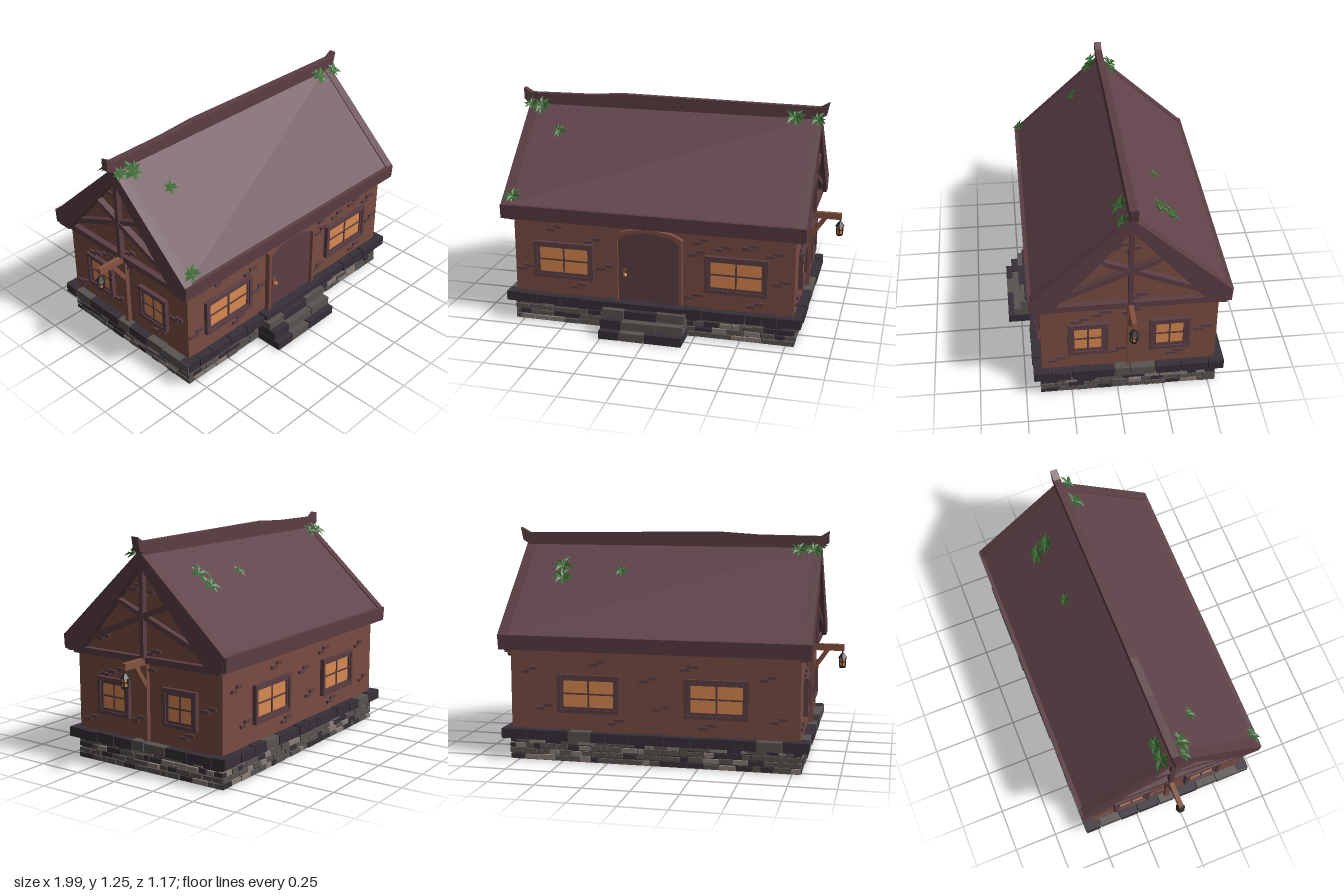
import * as THREE from 'three';
import { mergeGeometries } from 'three/addons/utils/BufferGeometryUtils.js';

const paint = (name, color, side = THREE.FrontSide) => {
  const m = new THREE.MeshStandardMaterial({ color, side });
  m.name = name;
  return m;
};

export function createModel() {
  const wall = paint('wall clay', 0x794c42);
  const trim = paint('dark timber', 0x5b3e44);
  const roofMat = paint('roof mauve', 0x60424a);
  const bracketWood = paint('bracket wood', 0x85533f);
  const stone = paint('mid stone', 0x575350);
  const paleStone = paint('pale stone', 0x897c75);
  const darkStone = paint('dark stone', 0x362f38);
  const glass = paint('glowing glass', 0xd8884f);
  const leafMat = paint('ivy green', 0x33682c, THREE.DoubleSide);
  const iron = paint('iron', 0x2b272b);

  const model = new THREE.Group();
  model.name = 'cottage';
  const house = new THREE.Group();
  house.name = 'house';
  house.position.z = -0.06;
  model.add(house);

  let seed = 7;
  const rnd = () => (seed = (seed * 16807) % 2147483647) / 2147483647;
  const add = (parent, name, geo, mat, x = 0, y = 0, z = 0) => {
    const m = new THREE.Mesh(geo, mat);
    m.name = name;
    m.position.set(x, y, z);
    parent.add(m);
    return m;
  };
  const box = (parent, name, mat, w, h, d, x, y, z) =>
    add(parent, name, new THREE.BoxGeometry(w, h, d), mat, x, y, z);
  const shapeOf = pts => new THREE.Shape(pts.map(p => new THREE.Vector2(...p)));
  const extrude = (shape, depth) =>
    new THREE.ExtrudeGeometry(shape, { depth, bevelEnabled: false, curveSegments: 10 });
  // Profile in (z, y) extruded from x0 to x1
  const across = (pts, x0, x1) =>
    extrude(shapeOf(pts), x1 - x0).rotateY(-Math.PI / 2).translate(x1, 0, 0);

  // Walls with both gables in one pentagon
  add(house, 'walls', across([[-0.47, 0.13], [0.47, 0.13], [0.47, 0.68], [0, 1.12], [-0.47, 0.68]], -0.79, 0.79), wall);
  box(house, 'foundationCore', darkStone, 1.57, 0.13, 0.93, 0, 0.07, 0);
  box(house, 'floor', wall, 1.58, 0.008, 0.94, 0, 0.004, 0);

  // Each side of the house: local x runs along the wall, local z points outward
  const sides = [['front', 0, 0, 0.47, 0.8], ['back', Math.PI, 0, -0.47, 0.8],
    ['left', Math.PI / 2, 0.79, 0, 0.48], ['right', -Math.PI / 2, -0.79, 0, 0.48]]
    .map(([name, ry, x, z, half]) => {
      const g = new THREE.Group();
      g.name = name + 'Side';
      g.rotation.y = ry;
      g.position.set(x, 0, z);
      house.add(g);
      return { g, half };
    });

  // Stone courses, merged by colour
  const course = (parent, name, half, y, h, z0, z1, minW, maxW, pick) => {
    const piles = new Map();
    let u = -half;
    while (u < half - 0.001) {
      let w = minW + rnd() * (maxW - minW);
      if (half - u - w < minW) w = half - u;
      const d = z1 - z0 - rnd() * 0.006, hh = h - rnd() * 0.006;
      const b = new THREE.BoxGeometry(w - 0.005, hh - 0.003, d).translate(u + w / 2, y + hh / 2, z0 + d / 2);
      const mat = pick();
      piles.set(mat, [...(piles.get(mat) || []), b]);
      u += w;
    }
    piles.forEach((list, mat) => add(parent, name, mergeGeometries(list), mat));
  };
  const rubble = () => { const r = rnd(); return r < 0.58 ? stone : r < 0.77 ? paleStone : darkStone; };
  const slab = () => (rnd() < 0.8 ? darkStone : stone);
  for (const { g, half } of sides) {
    for (let r = 0; r < 4; r++) course(g, 'foundationStones', half, 0.003 + r * 0.031, 0.031, -0.02, 0.012, 0.035, 0.1, rubble);
    course(g, 'capStones', half + 0.035, 0.122, 0.058, -0.02, 0.05, 0.08, 0.15, slab);
  }

  // Front steps
  const steps = new THREE.Group();
  steps.name = 'steps';
  steps.position.x = -0.025;
  house.add(steps);
  [[0, 0.64], [0.05, 0.605], [0.1, 0.565]].forEach(([y, z]) =>
    course(steps, 'stepStones', 0.235, y, 0.055, 0.46, z, 0.11, 0.2, slab));
  box(steps, 'threshold', darkStone, 0.45, 0.03, 0.07, 0, 0.165, 0.5);

  // Windows: outer frame, inner frame, glass and bars
  const ring = (w, h, t, d) => {
    const s = (a, b) => [[-a, -b], [a, -b], [a, b], [-a, b]];
    const sh = shapeOf(s(w / 2, h / 2));
    sh.holes.push(new THREE.Path(s(w / 2 - t, h / 2 - t).map(p => new THREE.Vector2(...p))));
    return extrude(sh, d);
  };
  const windowAt = (parent, u, w, h, t) => {
    const g = new THREE.Group();
    g.name = 'window';
    g.position.set(u, 0.38, 0);
    parent.add(g);
    add(g, 'outerFrame', ring(w, h, t * 0.6, 0.024), trim);
    add(g, 'innerFrame', ring(w - t, h - t, t * 0.52, 0.016), trim);
    box(g, 'panes', glass, w - 2 * t, h - 2 * t, 0.008, 0, 0, 0.004);
    box(g, 'uprightBar', trim, 0.009, h - 2 * t, 0.013, 0, 0, 0.0065);
    box(g, 'crossBar', trim, w - 2 * t, 0.009, 0.012, 0, 0, 0.006);
  };
  [[0, -0.5, 0.475], [1, -0.35, 0.35]].forEach(([i, a, b]) =>
    [a, b].forEach(u => windowAt(sides[i].g, u, 0.345, 0.21, 0.032)));
  for (const s of [sides[2], sides[3]]) [-0.22, 0.215].forEach(u => windowAt(s.g, u, 0.215, 0.205, 0.034));

  // Exposed brick patches, each a pair of offset bricks
  const patches = [
    [[-0.55, 0.565], [-0.33, 0.51], [-0.26, 0.36], [-0.73, 0.32], [-0.42, 0.235], [0.28, 0.56], [0.26, 0.49],
      [0.4, 0.53], [0.55, 0.55], [0.68, 0.515], [0.24, 0.24], [0.58, 0.22], [0.72, 0.36]],
    [[-0.68, 0.5], [-0.6, 0.3], [-0.3, 0.55], [-0.02, 0.47], [0.05, 0.32], [-0.2, 0.23], [0.3, 0.23], [0.2, 0.54], [0.62, 0.5], [0.68, 0.28]],
    [[-0.15, 0.545], [0.01, 0.55], [-0.26, 0.505], [-0.06, 0.285], [0.39, 0.4], [-0.39, 0.24], [0.25, 0.24],
      [-0.06, 0.98], [0.01, 0.955], [-0.29, 0.695], [0.04, 0.65]]];
  [0, 1, 2, 2].forEach((p, i) => {
    const bricks = [];
    for (const [u, y] of patches[p]) for (const k of [-1, 1]) {
      const w = 0.04 + rnd() * 0.025;
      bricks.push(new THREE.BoxGeometry(w, 0.017, 0.016).translate(u + k * 0.022, y + k * 0.0095, 0.004));
    }
    add(sides[i].g, 'wallBricks', mergeGeometries(bricks), trim);
  });

  // Arched door
  const arch = (w, y0, shoulder, top) => {
    const s = new THREE.Shape();
    s.moveTo(-w, y0);
    s.lineTo(w, y0);
    s.lineTo(w, shoulder);
    s.quadraticCurveTo(w * 0.7, top, 0, top);
    s.quadraticCurveTo(-w * 0.7, top, -w, shoulder);
    return s;
  };
  const door = new THREE.Group();
  door.name = 'door';
  door.position.x = -0.01;
  sides[0].g.add(door);
  const frame = arch(0.19, 0.17, 0.56, 0.605);
  frame.holes.push(arch(0.172, 0.172, 0.535, 0.585));
  add(door, 'doorFrame', extrude(frame, 0.03), wall);
  add(door, 'doorPanel', extrude(arch(0.173, 0.171, 0.536, 0.586), 0.012), trim);
  box(door, 'handlePlate', bracketWood, 0.02, 0.05, 0.008, -0.135, 0.345, 0.015);
  add(door, 'doorKnob', new THREE.SphereGeometry(0.011, 10, 8), glass, -0.13, 0.335, 0.026);

  // Roof slab, eave boards and ridge beam
  add(house, 'roof', across([[-0.515, 0.69], [-0.47, 0.67], [0, 1.11], [0.47, 0.67], [0.515, 0.69], [0, 1.17]], -0.84, 0.835), roofMat);
  for (const s of [-1, 1]) {
    const eave = box(house, 'eaveBoard', trim, 1.69, 0.08, 0.055, -0.003, 0.657, s * 0.5);
    eave.rotation.x = s * 0.06;
  }
  const ridge = shapeOf([[-0.885, 1.18], [-0.83, 1.155], [0.83, 1.155], [0.87, 1.18], [0.885, 1.25], [0.835, 1.222],
    [0.3, 1.228], [-0.28, 1.236], [-0.5, 1.222], [-0.84, 1.218], [-0.885, 1.245]]);
  add(house, 'ridgeBeam', extrude(ridge, 0.04).translate(0, 0, -0.025), trim);

  // Gable timbers, bracket and lantern at each end
  const gableEnd = s => {
    const g = new THREE.Group();
    g.name = s > 0 ? 'leftGable' : 'rightGable';
    house.add(g);
    const timber = (name, pts, a, b) => add(g, name, across(pts, Math.min(s * a, s * b), Math.max(s * a, s * b)), trim);
    timber('bargeBoards', [[-0.525, 0.69], [-0.5, 0.61], [-0.42, 0.61], [0, 1.1], [0.42, 0.61], [0.5, 0.61], [0.525, 0.69], [0, 1.176]], 0.795, 0.847);
    for (const k of [1, -1]) {
      const pts = [[0.43, 0.645], [0.41, 0.685], [-0.17, 0.925], [-0.13, 0.88]].map(([z, y]) => [k * z, y]);
      timber('crossBrace', k > 0 ? pts : pts.reverse(), k > 0 ? 0.8 : 0.797, k > 0 ? 0.835 : 0.83);
    }
    box(g, 'tieBeam', trim, 0.04, 0.035, 0.95, s * 0.805, 0.612, 0);
    box(g, 'kingPost', trim, 0.03, 0.5, 0.026, s * 0.823, 0.865, 0);
    box(g, 'wallPost', wall, 0.03, 0.44, 0.026, s * 0.8, 0.4, 0);
    box(g, 'lanternArm', bracketWood, 0.17, 0.036, 0.026, s * 0.895, 0.606, 0);
    const brace = box(g, 'armBrace', bracketWood, 0.15, 0.024, 0.022, s * 0.85, 0.535, 0);
    brace.rotation.z = s * 0.97;

    const lantern = new THREE.Group();
    lantern.name = 'lantern';
    lantern.position.x = s * 0.972;
    g.add(lantern);
    const cyl = (name, mat, r1, r2, h, y, x = 0, z = 0) =>
      add(lantern, name, new THREE.CylinderGeometry(r1, r2, h, 6).toNonIndexed(), mat, x, y, z).geometry.computeVertexNormals();
    cyl('hook', iron, 0.004, 0.004, 0.04, 0.585);
    cyl('lanternRoof', iron, 0.009, 0.028, 0.026, 0.561);
    cyl('lanternLight', glass, 0.019, 0.015, 0.045, 0.527);
    cyl('lanternBase', iron, 0.021, 0.017, 0.012, 0.499);
    cyl('lanternBand', iron, 0.0205, 0.0195, 0.005, 0.528);
    for (let i = 0; i < 6; i++) {
      const a = i * Math.PI / 3;
      cyl('lanternBar', iron, 0.003, 0.003, 0.048, 0.527, Math.sin(a) * 0.019, Math.cos(a) * 0.019);
    }
  };
  gableEnd(1);
  gableEnd(-1);

  // Ivy: rosettes of folded leaves lying on the roof slopes
  const leaf = new THREE.BufferGeometry();
  leaf.setAttribute('position', new THREE.Float32BufferAttribute(
    [0, 0, 0, 0.015, 0.03, 0.014, 0, 0.068, 0.004, -0.015, 0.03, 0.014, 0, 0.032, 0.006], 3));
  leaf.setIndex([0, 1, 4, 1, 2, 4, 2, 3, 4, 3, 0, 4]);
  const leafGeo = leaf.toNonIndexed();
  leafGeo.computeVertexNormals();
  const ivy = (x, z, size, back) => {
    const turn = new THREE.Group();
    turn.name = 'ivy';
    turn.rotation.y = back ? Math.PI : 0;
    house.add(turn);
    const g = new THREE.Group();
    g.position.set(back ? -x : x, 1.18 - 0.93 * z, z + 0.008);
    g.rotation.x = -0.82;
    g.scale.setScalar(size);
    turn.add(g);
    for (let i = 0; i < 8; i++) {
      const m = add(g, 'leaf', leafGeo, leafMat, 0, 0, 0.004 + (i % 2) * 0.01);
      m.rotation.set(0.15, 0, i * 0.785 + rnd() * 0.4, 'ZYX');
      m.scale.setScalar(0.8 + rnd() * 0.3);
    }
  };
  [[-0.76, 0.04, 1], [-0.83, 0.03, 0.7], [-0.615, 0.16, 0.65], [-0.78, 0.48, 0.85], [0.705, 0.025, 1], [0.83, 0.03, 0.75]]
    .forEach(p => ivy(...p, false));
  [[0.24, 0.18, 0.65], [0.565, 0.22, 0.95], [0.58, 0.155, 0.95], [-0.73, 0.05, 0.8], [-0.81, 0.05, 0.9]]
    .forEach(p => ivy(...p, true));

  return model;
}
